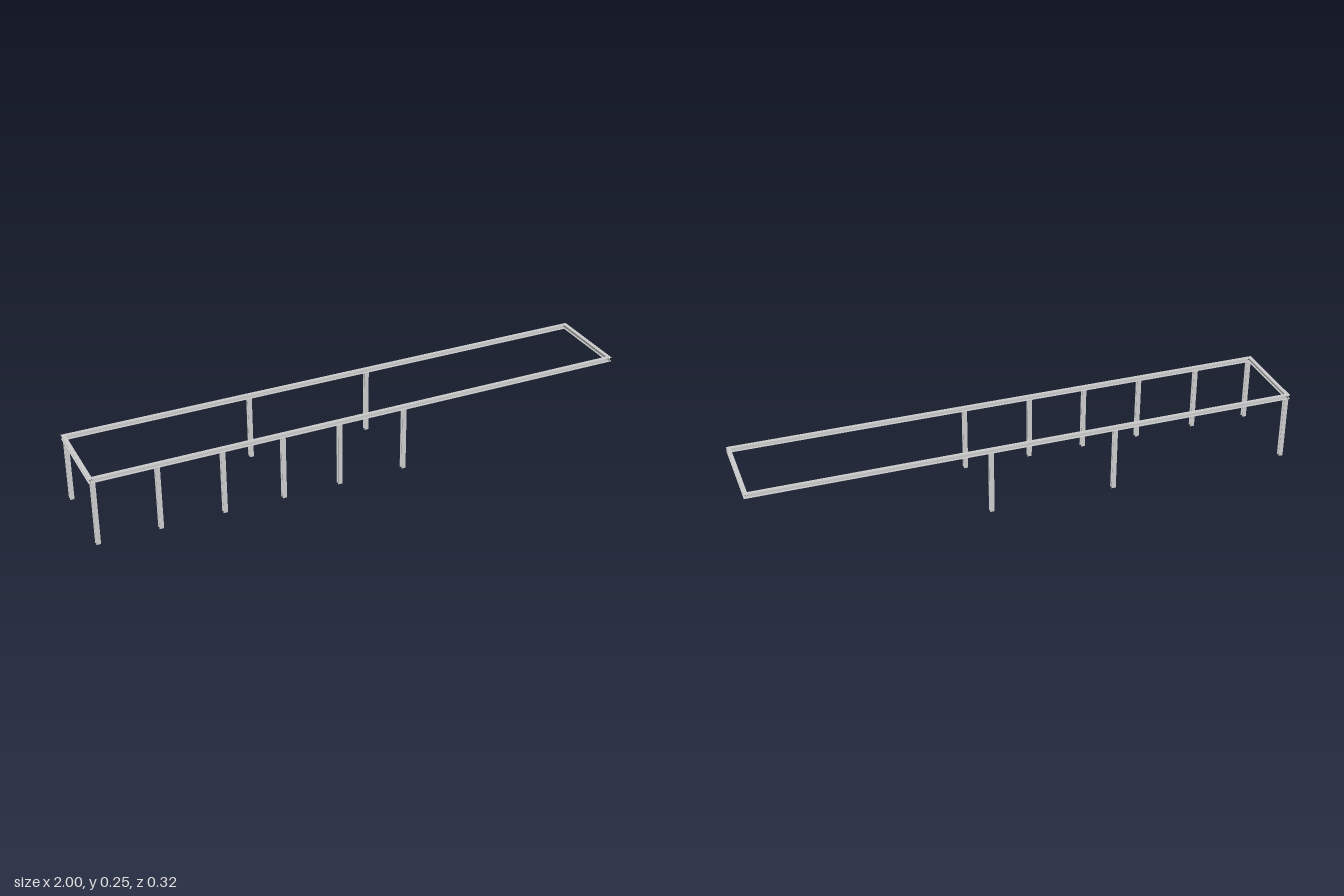
import * as THREE from 'three';

const W = 0.0145;  // flange width
const D = 0.016;   // beam depth
const T = 0.0015;  // plate thickness
const TOP = 0.255, HALF_Z = 0.159;

const material = new THREE.MeshStandardMaterial({ color: 0xcccccc, flatShading: true });

// I-section extruded along z and centred: flanges across x, web along y
function iBeam(name, width, depth, length) {
  const w = width / 2, d = depth / 2, t = T / 2;
  const shape = new THREE.Shape([
    [-w, -d], [w, -d], [w, -d + T], [t, -d + T], [t, d - T], [w, d - T],
    [w, d], [-w, d], [-w, d - T], [-t, d - T], [-t, -d + T], [-w, -d + T],
  ].map(([x, y]) => new THREE.Vector2(x, y)));
  const geometry = new THREE.ExtrudeGeometry(shape, { depth: length, bevelEnabled: false });
  geometry.translate(0, 0, -length / 2);
  const mesh = new THREE.Mesh(geometry, material);
  mesh.name = name;
  return mesh;
}

export function createModel() {
  const model = new THREE.Group();
  model.name = 'steelFrame';
  const beamY = TOP - D / 2;
  const sideZ = HALF_Z - W / 2;

  // Long rails, butted between the end beams
  for (const [name, side] of [['frontRail', 1], ['backRail', -1]]) {
    const rail = iBeam(name, W, D, 2 - 2 * W);
    rail.rotation.y = Math.PI / 2;
    rail.position.set(0, beamY, side * sideZ);
    model.add(rail);
  }

  // End beams across the full width
  for (const [name, side] of [['leftEndBeam', 1], ['rightEndBeam', -1]]) {
    const beam = iBeam(name, W, D, 2 * HALF_Z);
    beam.position.set(side * (1 - W / 2), beamY, 0);
    model.add(beam);
  }

  // Posts: flanges face front and back, unevenly spaced
  const postHeight = TOP - D;
  const addPosts = (name, xs, z) => xs.forEach((x) => {
    const post = iBeam(name, 0.016, W, postHeight);
    post.rotation.x = Math.PI / 2;
    post.position.set(x, postHeight / 2, z);
    model.add(post);
  });
  addPosts('frontPost', [-0.986, -0.766, -0.536, -0.317, -0.105, 0.143], sideZ);
  addPosts('backPost', [-0.986, -0.317, 0.143], -sideZ);

  return model;
}
